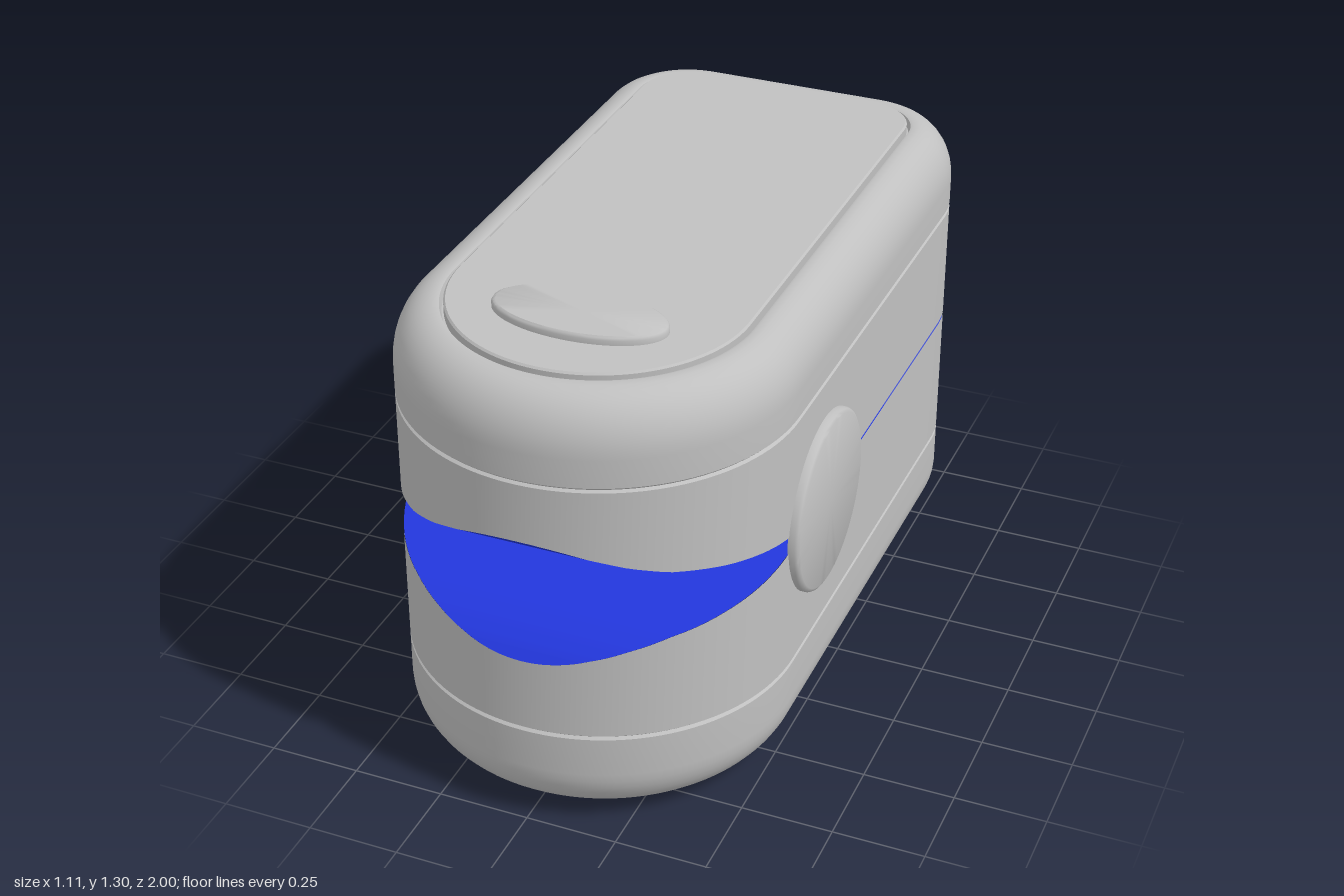
import * as THREE from 'three';
import { toCreasedNormals } from 'three/addons/utils/BufferGeometryUtils.js';

const HALF = 0.53, FRONT_Z = 0.47, CORNER = 0.27, BACK_Z = -0.73, MID = 0.685;

// Footprint: round nose, straight sides, rounded rear corners, shrunk by inset
function outline(inset) {
  const pts = [], w = HALF - inset, r = CORNER - inset, cx = HALF - CORNER;
  const arc = (x, z, rad, a0, a1, n) => {
    for (let i = 0; i < n; i++) {
      const a = a0 + (a1 - a0) * i / n;
      pts.push([x + rad * Math.cos(a), z + rad * Math.sin(a)]);
    }
  };
  const line = (x0, z0, x1, z1, n) => {
    for (let i = 0; i < n; i++) pts.push([x0 + (x1 - x0) * i / n, z0 + (z1 - z0) * i / n]);
  };
  arc(0, FRONT_Z, w, 0, Math.PI, 56);
  line(-w, FRONT_Z, -w, BACK_Z, 16);
  arc(-cx, BACK_Z, r, Math.PI, Math.PI * 1.5, 12);
  line(-cx, BACK_Z - r, cx, BACK_Z - r, 28);
  arc(cx, BACK_Z, r, Math.PI * 1.5, Math.PI * 2, 12);
  line(w, BACK_Z, w, FRONT_Z, 16);
  return pts;
}

// Ring at a fixed height, or at a height given by a rule of x and z
const ring = (inset, y) => outline(inset).map(([x, z]) => [x, typeof y === 'function' ? y(x, z) : y, z]);
const centre = (y) => outline(0).map(() => [0, y, 0]);

// Skin a grid of rows; closed rows wrap around
function skin(rows, closed, flip) {
  const n = rows[0].length, index = [];
  for (let i = 0; i < rows.length - 1; i++) {
    for (let j = 0; j < (closed ? n : n - 1); j++) {
      const k = (j + 1) % n;
      const a = i * n + j, b = a + n, c = i * n + k, d = c + n;
      if (flip) index.push(a, c, b, b, c, d);
      else index.push(a, b, c, b, d, c);
    }
  }
  const g = new THREE.BufferGeometry();
  g.setAttribute('position', new THREE.Float32BufferAttribute(rows.flat(2), 3));
  g.setIndex(index);
  return toCreasedNormals(g, 0.6);
}

// Half height of the mouth along z
const MOUTH = [[0.4, 0.003], [0.52, 0.025], [0.75, 0.07], [0.87, 0.098], [0.93, 0.125], [0.97, 0.152], [1, 0.18]];
function mouth(z) {
  if (z <= MOUTH[0][0]) return MOUTH[0][1];
  for (let i = 1; i < MOUTH.length; i++) {
    const [z0, h0] = MOUTH[i - 1], [z1, h1] = MOUTH[i];
    if (z <= z1) return h0 + (h1 - h0) * (z - z0) / (z1 - z0);
  }
  return 0.18;
}
// Lens-shaped rear opening
const lens = (x) => Math.abs(x) < 0.26 ? 0.16 * Math.cos(Math.PI * x / 0.52) : 0;
const rim = (x, z) => z < -0.99 ? Math.max(0.003, lens(x)) : mouth(z);

// Finger channel: wedge at the front, widening to the lens at the back
function channel(sign) {
  const zs = [], rows = [];
  for (let i = 0; i <= 28; i++) zs.push(FRONT_Z + HALF * Math.cos(i / 28 * Math.PI / 2));
  for (let i = 1; i <= 16; i++) zs.push(FRONT_Z + (BACK_Z - FRONT_Z) * i / 16);
  for (let i = 1; i <= 10; i++) zs.push(BACK_Z - CORNER * Math.sin(i / 10 * Math.PI / 2));
  for (const z of zs) {
    let w = HALF;
    if (z > FRONT_Z) w = Math.sqrt(Math.max(0, HALF ** 2 - (z - FRONT_Z) ** 2));
    if (z < BACK_Z) w = HALF - CORNER + Math.sqrt(Math.max(0, CORNER ** 2 - (z - BACK_Z) ** 2));
    const t = THREE.MathUtils.smoothstep(-z, -0.4, 1);
    const row = [];
    for (let j = 0; j <= 40; j++) {
      const x = w * 0.998 * (j / 20 - 1);
      const h = z > 0.5 ? mouth(z) : Math.max(0.025, lens(x) * t);
      row.push([x, MID + sign * h, z]);
    }
    rows.push(row);
  }
  return skin(rows, false, sign < 0);
}

// Flat disc with a softened edge
function disc(radius, height) {
  const p = [[radius, 0], [radius, height * 0.6], [radius - 0.004, height * 0.85], [radius - 0.012, height], [0, height]];
  return new THREE.LatheGeometry(p.map(([x, y]) => new THREE.Vector2(x, y)), 64);
}

export function createModel() {
  const grey = new THREE.MeshStandardMaterial({ color: 0xc0c0c0 });
  grey.name = 'greyPlastic';
  const blue = new THREE.MeshStandardMaterial({ color: 0x2337dd });
  blue.name = 'bluePad';
  const model = new THREE.Group();
  model.name = 'fingerClipSensor';
  const add = (name, geometry, material = grey) => {
    const m = new THREE.Mesh(geometry, material);
    m.name = name;
    model.add(m);
    return m;
  };

  // Bottom cap with a shallow base plate
  const bottom = [centre(0), ring(0.165, 0), ring(0.155, 0.016)];
  for (let i = 0; i <= 10; i++) {
    const a = i / 10 * Math.PI / 2;
    bottom.push(ring(0.145 * (1 - Math.sin(a)), 0.018 + 0.155 * (1 - Math.cos(a))));
  }
  bottom.push(ring(0, 0.286), ring(0.008, 0.294));
  add('bottomCap', skin(bottom, true));

  // Lower and upper jaws, cut by the mouth and the rear opening
  add('lowerJaw', skin([ring(0.008, 0.292), ring(0, 0.299),
    ring(0, (x, z) => MID - rim(x, z))], true));
  add('upperJaw', skin([ring(0, (x, z) => MID + rim(x, z)),
    ring(0, 1.03), ring(0.008, 1.037)], true));

  // Blue finger pads
  add('lowerPad', channel(-1), blue);
  add('upperPad', channel(1), blue);

  // Top cap, rounded over to a narrow groove
  const top = [ring(0.008, 1.035), ring(0, 1.043)];
  for (let i = 0; i <= 10; i++) {
    const a = i / 10 * Math.PI / 2;
    top.push(ring(0.115 * (1 - Math.cos(a)), 1.12 + 0.152 * Math.sin(a)));
  }
  top.push(ring(0.122, 1.27), ring(0.128, 1.25), ring(0.14, 1.25));
  add('topCap', skin(top, true));

  // Face plate
  add('facePlate', skin([ring(0.133, 1.25), ring(0.133, 1.277),
    ring(0.138, 1.282), centre(1.282)], true));

  // Oval button
  const oval = disc(0.235, 0.025);
  oval.scale(1, 1, 0.115 / 0.235);
  add('button', toCreasedNormals(oval, 0.6)).position.set(0, 1.28, 0.607);

  // Round hinge covers on both sides
  for (const s of [1, -1]) {
    const hinge = add(s > 0 ? 'leftHingeCover' : 'rightHingeCover', toCreasedNormals(disc(0.248, 0.03), 0.6));
    hinge.rotation.z = -s * Math.PI / 2;
    hinge.position.set(s * 0.525, 0.68, 0.27);
  }
  return model;
}
